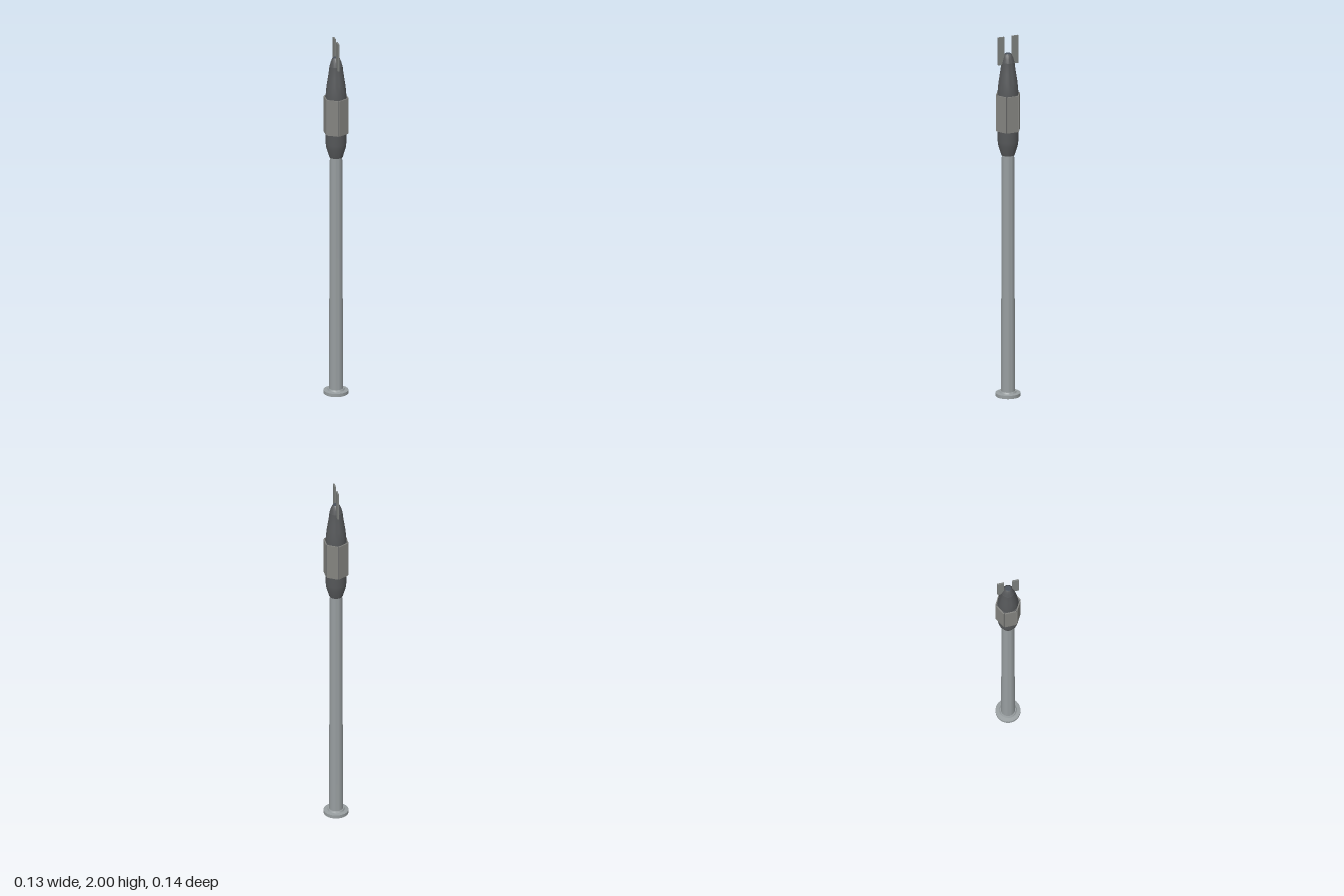
import * as THREE from 'three';
import { toCreasedNormals } from 'three/addons/utils/BufferGeometryUtils.js';

export function createModel() {
  const model = new THREE.Group();
  const paint = (color) => new THREE.MeshStandardMaterial({ color });
  const poleGrey = paint(0x979d9f);
  const headGrey = paint(0x56585a);
  const panelGrey = paint(0x83837f);
  const bladeGrey = paint(0x7c7f7d);
  const capGrey = paint(0x48505a);

  function add(name, geometry, material, parent = model) {
    const mesh = new THREE.Mesh(geometry, material);
    mesh.name = name;
    parent.add(mesh);
    return mesh;
  }

  // Round part from [radius, height] pairs, bottom to top
  function turned(name, material, profile) {
    const points = profile.map(([r, y]) => new THREE.Vector2(r, y));
    return add(name, toCreasedNormals(new THREE.LatheGeometry(points, 32), 0.5), material);
  }

  // Foot plate with a small collar
  turned('baseFlange', poleGrey, [[0, 0], [0.066, 0], [0.066, 0.018], [0.046, 0.02], [0.042, 0.028], [0, 0.028]]);

  // Slightly tapering pole
  turned('pole', poleGrey, [[0, 0.02], [0.0375, 0.02], [0.033, 1.36], [0, 1.36]]);

  // Head: flared bottom, straight drum, rounded shoulder and short neck
  turned('headBody', headGrey, [
    [0, 1.342], [0.036, 1.342], [0.052, 1.395], [0.055, 1.42], [0.055, 1.69],
    [0.053, 1.72], [0.049, 1.755], [0.042, 1.8], [0.037, 1.835], [0.035, 1.858], [0, 1.858],
  ]);

  // Nose cap with a flat bluish tip
  turned('noseCap', headGrey, [[0, 1.85], [0.034, 1.858], [0.028, 1.88], [0.021, 1.898], [0.016, 1.904]]);
  turned('noseTip', capGrey, [[0.016, 1.904], [0.015, 1.905], [0, 1.905]]);

  // Dark six-sided core that shows in the gaps between the panels
  const core = new THREE.CylinderGeometry(0.0655, 0.0655, 0.198, 6).toNonIndexed();
  core.computeVertexNormals();
  add('panelCore', core, headGrey).position.y = 1.58;

  // Six thin flat panels around the core
  const panels = new THREE.Group();
  panels.name = 'sidePanels';
  model.add(panels);
  for (let i = 0; i < 6; i++) {
    const angle = (i * Math.PI) / 3;
    const panel = add('sidePanel', new THREE.BoxGeometry(0.006, 0.2, 0.062), panelGrey, panels);
    panel.position.set(0.058 * Math.cos(angle), 1.58, 0.058 * Math.sin(angle));
    panel.rotation.y = -angle;
  }

  // Two upright blades at the front and back of the nose
  for (const side of [1, -1]) {
    const name = side > 0 ? 'frontBlade' : 'backBlade';
    const blade = add(name, new THREE.BoxGeometry(0.008, 0.154, 0.036), bladeGrey);
    blade.position.set(0, 1.923, side * 0.04);
  }
  return model;
}
